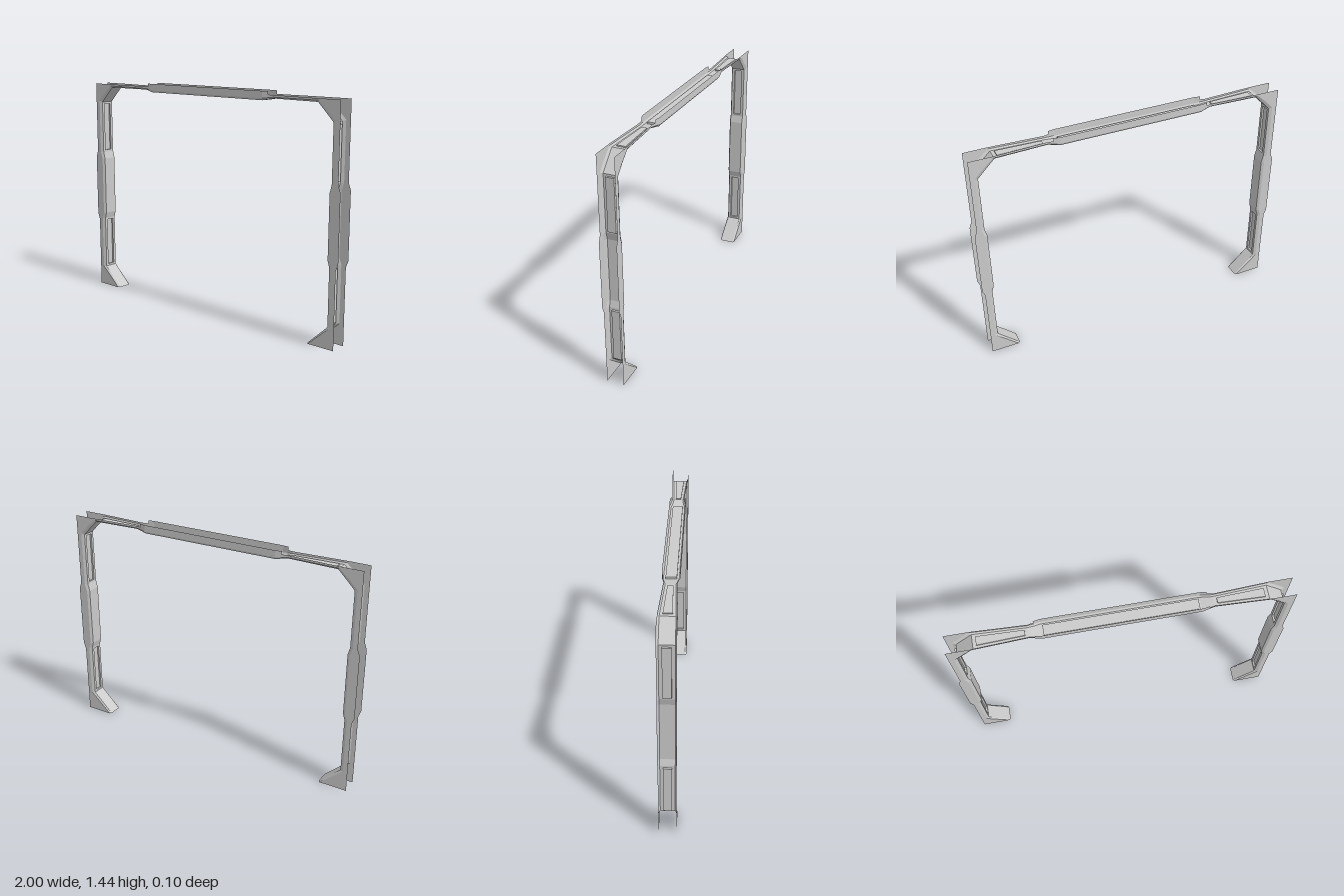
import * as THREE from 'three';

const material = new THREE.MeshStandardMaterial({
  color: 0xcccccc, flatShading: true, side: THREE.DoubleSide,
});

// Collects quads (four corners each) into one flat-shaded mesh.
function quadMesh(name, quads) {
  const pos = [];
  for (const [a, b, c, d] of quads) for (const p of [a, b, c, a, c, d]) pos.push(...p);
  const geo = new THREE.BufferGeometry();
  geo.setAttribute('position', new THREE.Float32BufferAttribute(pos, 3));
  geo.computeVertexNormals();
  const mesh = new THREE.Mesh(geo, material);
  mesh.name = name;
  return mesh;
}

const W = 0.052, L = 0.043; // half depth of the side sheets and of the lining

// Stations up the left leg and along the lintel to its middle section:
// lining, sheet inner edge, sheet outer edge, lining half depth, sheet half depth.
// "panel" marks a recess running to the next station:
// [inset at both ends, half width at start, half width at end, depth].
const S = (lining, edge, outer, zl = L, zf = W, panel = null) => ({ lining, edge, outer, zl, zf, panel });
const legPanel = [0.013, 0.025, 0.025, 0.012];
const half = [
  S([0.80, 0], [0.81, 0], [0.985, 0]),
  S([0.936, 0.13], [0.955, 0.13], [0.985, 0.13], L, W, legPanel),
  S([0.936, 0.48], [0.955, 0.48], [0.985, 0.47]),
  S([0.924, 0.52], [0.94, 0.52], [1.0, 0.51]),
  S([0.924, 0.905], [0.94, 0.905], [1.0, 0.915]),
  S([0.936, 0.95], [0.955, 0.95], [0.985, 0.955], L, W, legPanel),
  S([0.936, 1.295], [0.955, 1.303], [0.985, 1.303]),
  S([0.885, 1.347], [0.9, 1.358], [0.985, 1.42]),
  S([0.832, 1.399], [0.842, 1.409], [0.842, 1.42], L, W, [0.02, 0.026, 0.016, 0.007]),
  S([0.52, 1.399], [0.52, 1.407], [0.52, 1.42], 0.029, 0.037),
  S([0.487, 1.393], [0.487, 1.403], [0.487, 1.42], 0.034, 0.043),
  S([0.487, 1.393], [0.487, 1.403], [0.487, 1.44], 0.034, 0.043),
  S([0.45, 1.386], [0.45, 1.398], [0.45, 1.44], L, 0.05, [0.01, 0.031, 0.031, 0.012]),
];

// Lining strip with a sunken panel, sunk away from the opening.
function panelQuads(a, b, frame, recess) {
  const [inset, w0, w1, depth] = a.panel;
  const dx = b.lining[0] - a.lining[0], dy = b.lining[1] - a.lining[1];
  const len = Math.hypot(dx, dy), nx = dy / len, ny = -dx / len;
  const at = (d, z, sink) => [
    a.lining[0] + dx * d / len + nx * sink, a.lining[1] + dy * d / len + ny * sink, z];
  const corners = (d0, z0, d1, z1, s) => [at(d0, -z0, s), at(d0, z0, s), at(d1, z1, s), at(d1, -z1, s)];
  const rim = corners(0, a.zl, len, b.zl, 0);
  const hole = corners(inset, w0, len - inset, w1, 0);
  const floor = corners(inset, w0, len - inset, w1, depth);
  for (let i = 0; i < 4; i++) {
    const j = (i + 1) % 4;
    frame.push([rim[i], rim[j], hole[j], hole[i]]);
    recess.push([hole[i], hole[j], floor[j], floor[i]]);
  }
  recess.push(floor);
}

export function createModel() {
  const group = new THREE.Group();
  group.name = 'doorFrame';
  const sheets = { 1: [], [-1]: [] }, bevels = [], lining = [], recess = [];

  // Half the frame plus its mirror image, as one path from foot to foot.
  const flip = (p) => [-p[0], p[1]];
  const mirrored = half.map((s, i) => {
    const prev = half[i - 1];
    const p = prev && prev.panel;
    return { ...s, lining: flip(s.lining), edge: flip(s.edge), outer: flip(s.outer),
      panel: p ? [p[0], p[2], p[1], p[3]] : null };
  }).reverse();
  const path = [...half, ...mirrored];

  for (let i = 0; i < path.length - 1; i++) {
    const a = path[i], b = path[i + 1];
    for (const s of [1, -1]) {
      const edgeA = [...a.edge, s * a.zf], edgeB = [...b.edge, s * b.zf];
      const sheet = [edgeA, [...a.outer, s * a.zf], [...b.outer, s * b.zf], edgeB];
      if (a.edge[0] !== b.edge[0] || a.edge[1] !== b.edge[1]) {
        sheets[s].push(s > 0 ? sheet : sheet.reverse());
        bevels.push([[...a.lining, s * a.zl], edgeA, edgeB, [...b.lining, s * b.zl]]);
      }
    }
    if (a.panel) panelQuads(a, b, lining, recess);
    else if (a.lining[0] !== b.lining[0] || a.lining[1] !== b.lining[1]) {
      lining.push([[...a.lining, -a.zl], [...a.lining, a.zl], [...b.lining, b.zl], [...b.lining, -b.zl]]);
    }
  }

  group.add(
    quadMesh('frontSheet', sheets[1]),
    quadMesh('backSheet', sheets[-1]),
    quadMesh('bevelledEdges', bevels),
    quadMesh('innerLining', lining),
    quadMesh('recessedPanels', recess),
  );
  return group;
}
